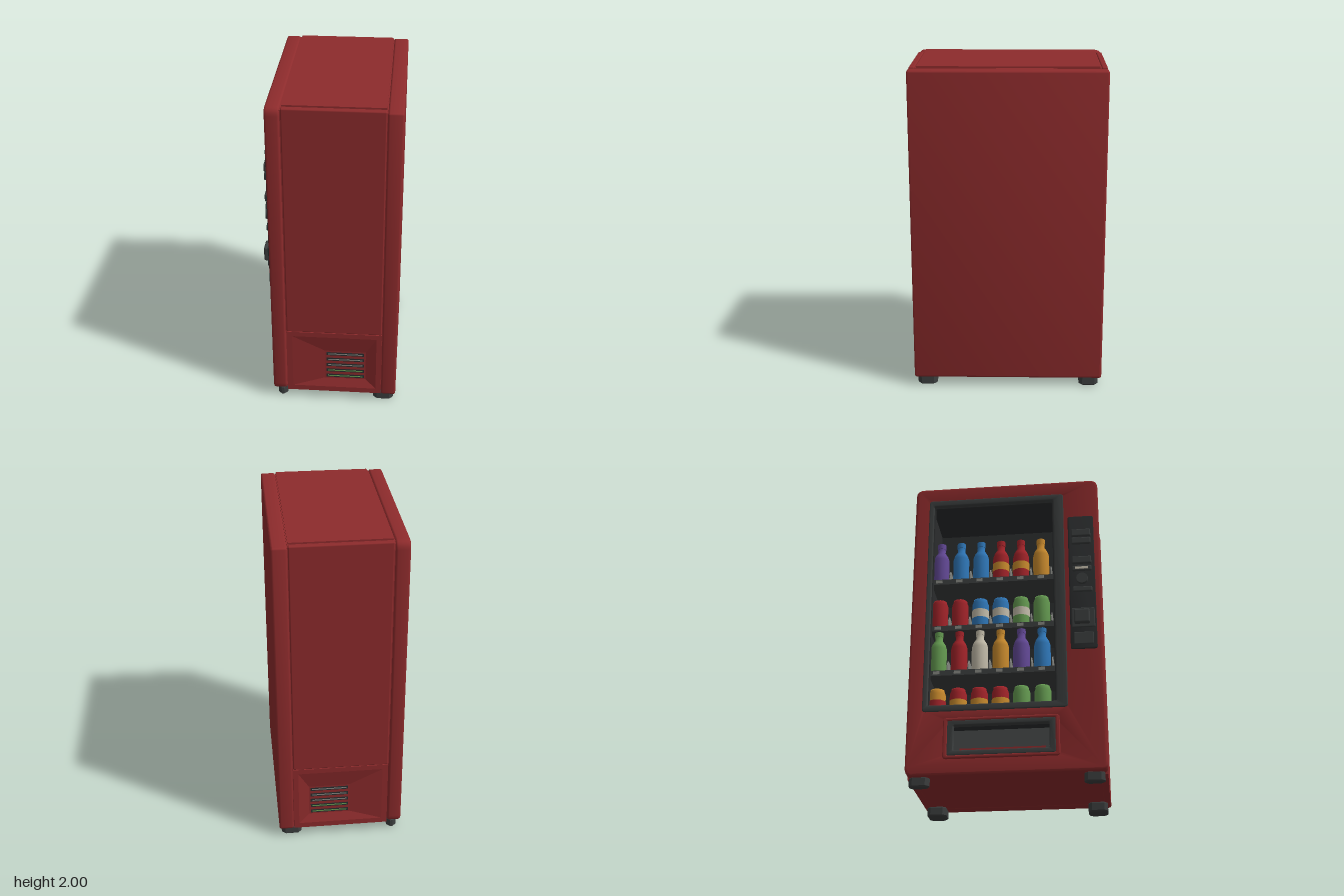
import * as THREE from 'three';
import { toCreasedNormals } from 'three/addons/utils/BufferGeometryUtils.js';
import { RoundedBoxGeometry } from 'three/addons/geometries/RoundedBoxGeometry.js';

const paint = (name, color) => {
  const m = new THREE.MeshStandardMaterial({ color });
  m.name = name;
  return m;
};

export function createModel() {
  const root = new THREE.Group();
  root.name = 'vendingMachine';
  const red = paint('cabinetRed', 0x8d2b2c), dark = paint('darkPlastic', 0x3b3e3e);
  const black = paint('interiorBlack', 0x2b2d2e), grey = paint('metalGrey', 0x83847f);
  const blue = paint('blue', 0x3079bb), crimson = paint('crimson', 0xa4242a);
  const orange = paint('orange', 0xcb8c2e), green = paint('green', 0x669c52);
  const purple = paint('purple', 0x644a98), cream = paint('cream', 0xc4bdab);

  const add = (name, geo, mat, x = 0, y = 0, z = 0, parent = root) => {
    const m = new THREE.Mesh(geo, mat);
    m.name = name;
    m.position.set(x, y, z);
    parent.add(m);
    return m;
  };
  // Box given by its limits
  const box = (name, mat, x0, x1, y0, y1, z0, z1, parent) =>
    add(name, new THREE.BoxGeometry(x1 - x0, y1 - y0, z1 - z0), mat,
      (x0 + x1) / 2, (y0 + y1) / 2, (z0 + z1) / 2, parent);
  const soft = (name, mat, x0, x1, y0, y1, z0, z1, r) =>
    add(name, new RoundedBoxGeometry(x1 - x0, y1 - y0, z1 - z0, 2, r), mat,
      (x0 + x1) / 2, (y0 + y1) / 2, (z0 + z1) / 2);

  // Rounded rectangle [z0, z1, y0, y1] with corner radius r
  const rect = ([z0, z1, y0, y1], r, path = new THREE.Shape()) => {
    path.moveTo(z0 + r, y0);
    path.lineTo(z1 - r, y0);
    path.quadraticCurveTo(z1, y0, z1, y0 + r);
    path.lineTo(z1, y1 - r);
    path.quadraticCurveTo(z1, y1, z1 - r, y1);
    path.lineTo(z0 + r, y1);
    path.quadraticCurveTo(z0, y1, z0, y1 - r);
    path.lineTo(z0, y0 + r);
    path.quadraticCurveTo(z0, y0, z0 + r, y0);
    return path;
  };
  // Plate in the z-y plane with holes, thick from x0 to x1
  const plate = (name, mat, outer, r, holes, x0, x1, b) => {
    const s = rect(outer, r);
    for (const h of holes) s.holes.push(rect(h, 0.008, new THREE.Path()));
    let g = new THREE.ExtrudeGeometry(s, {
      depth: x1 - x0 - 2 * b, bevelEnabled: b > 0, bevelSize: b, bevelThickness: b,
      bevelOffset: -b, bevelSegments: 3, curveSegments: 5,
    });
    g.translate(0, 0, b);
    g.rotateY(-Math.PI / 2);
    g = toCreasedNormals(g, 0.7);
    return add(name, g, mat, x1);
  };

  // Cabinet: door slab, hollow middle, rear slab
  const win = [-0.48, 0.35, 0.46, 1.89], cavity = [-0.49, 0.35, 0.41, 1.89];
  const chute = [-0.33, 0.28, 0.18, 0.375];
  plate('door', red, [-0.585, 0.585, 0.056, 2], 0.05, [win, chute], -0.365, -0.28, 0.013);
  plate('cabinetFront', red, [-0.55, 0.55, 0.06, 1.99], 0.01, [cavity, chute], -0.281, 0.06, 0);
  plate('cabinetRear', red, [-0.55, 0.55, 0.06, 1.99], 0.01, [], 0.06, 0.316, 0);
  plate('rearSlab', red, [-0.585, 0.585, 0.056, 1.99], 0.016, [], 0.315, 0.405, 0.012);
  box('topPanel', red, -0.273, 0.31, 1.985, 2, -0.535, 0.535);
  for (const s of [-1, 1]) {
    soft('sidePanel', red, -0.274, 0.311, 0.507, 1.996, s * 0.5625 - 0.0175, s * 0.5625 + 0.0175, 0.008);
    box('seamFiller', red, -0.281, 0.316, 0.507, 1.985, s * 0.5575 - 0.0125, s * 0.5575 + 0.0125);
  }

  // Lower side panels with sloping recess and vent slots
  for (const s of [-1, 1]) {
    const vent = new THREE.Group();
    vent.name = 'ventPanel';
    vent.rotation.y = s > 0 ? 0 : Math.PI;
    root.add(vent);
    const ring = (x0, x1, y0, y1, z) => [[x0, y0, z], [x1, y0, z], [x1, y1, z], [x0, y1, z]];
    const flip = (a, b) => s > 0 ? [a, b] : [-b, -a];
    const rings = [ring(...flip(-0.275, 0.312), 0.06, 0.507, 0.545), ring(...flip(-0.275, 0.312), 0.06, 0.507, 0.581),
      ring(...flip(-0.24, 0.28), 0.095, 0.475, 0.581), ring(...flip(-0.04, 0.215), 0.15, 0.36, 0.56)];
    const pos = [], quad = (a, b, c, d) => pos.push(...a, ...b, ...c, ...a, ...c, ...d);
    for (let k = 0; k < 3; k++)
      for (let i = 0; i < 4; i++) {
        const j = (i + 1) % 4;
        quad(rings[k][i], rings[k][j], rings[k + 1][j], rings[k + 1][i]);
      }
    quad(...rings[3]);
    const g = new THREE.BufferGeometry();
    g.setAttribute('position', new THREE.Float32BufferAttribute(pos, 3));
    g.computeVertexNormals();
    add('ventCover', g, red, 0, 0, 0, vent);
    const [a, b] = flip(-0.03, 0.205);
    for (let i = 0; i < 5; i++) {
      const y = 0.17 + i * 0.042;
      box('ventSlot', black, a, b, y - 0.011, y + 0.011, 0.556, 0.562, vent);
      box('ventLouvre', i < 2 ? green : grey, a + 0.01, b - 0.01, y - 0.004, y + 0.003, 0.558, 0.563, vent);
    }
  }

  // Chamfered feet
  const foot = (x0, x1, z) => {
    const w = (x1 - x0) / 2, d = 0.06, c = 0.022;
    const s = new THREE.Shape([[-w + c, -d], [w - c, -d], [w, -d + c], [w, d - c],
      [w - c, d], [-w + c, d], [-w, d - c], [-w, -d + c]].map(p => new THREE.Vector2(...p)));
    const g = new THREE.ExtrudeGeometry(s, { depth: 0.046, bevelSize: 0.008, bevelThickness: 0.008,
      bevelOffset: -0.008, bevelSegments: 1 });
    g.rotateX(-Math.PI / 2);
    add('foot', g, dark, (x0 + x1) / 2, 0.008, z);
  };
  for (const z of [-0.505, 0.505]) {
    foot(-0.34, -0.28, z);
    foot(0.265, 0.39, z);
  }

  // Dark lining of an opening
  const lining = (name, [z0, z1, y0, y1], x0, x1) => {
    box(name + 'Back', black, x1 - 0.008, x1, y0, y1, z0, z1);
    for (const [a, b, c, d] of [[z0, z1, y0, y0 + 0.008], [z0, z1, y1 - 0.008, y1],
      [z0, z0 + 0.008, y0, y1], [z1 - 0.008, z1, y0, y1]])
      box(name + 'Wall', black, x0, x1, c, d, a, b);
  };
  lining('doorOpening', win, -0.35, -0.28);
  root.remove(root.getObjectByName('doorOpeningBack'));
  lining('display', cavity, -0.28, 0.06);
  lining('chute', chute, -0.35, -0.1);

  // Window and delivery frames
  plate('windowFrame', dark, [-0.495, 0.365, 0.445, 1.905], 0.02, [[-0.465, 0.3, 0.485, 1.865]], -0.371, -0.33, 0.006);
  plate('windowInnerFrame', black, [-0.475, 0.32, 0.475, 1.875], 0.01, [[-0.457, 0.292, 0.493, 1.857]], -0.345, -0.325, 0.004);
  plate('chuteRim', red, [-0.365, 0.315, 0.15, 0.4], 0.02, [[-0.34, 0.29, 0.17, 0.382]], -0.376, -0.35, 0.005);
  plate('chuteFrame', dark, [-0.342, 0.292, 0.168, 0.385], 0.012, [[-0.305, 0.255, 0.2, 0.355]], -0.373, -0.33, 0.005);
  const flap = box('chuteFlap', dark, -0.285, -0.277, 0.19, 0.36, -0.32, 0.27);
  flap.rotation.z = -0.25;
  box('chuteLip', red, -0.335, -0.315, 0.19, 0.222, -0.27, 0.23);

  // Product shapes, as lathe profiles
  const lathe = pts => new THREE.LatheGeometry(pts.map(p => new THREE.Vector2(...p)), 14);
  const shapes = {
    bottle: lathe([[0, 0], [0.044, 0], [0.051, 0.012], [0.051, 0.175], [0.042, 0.205], [0.024, 0.235], [0.024, 0.262]]),
    can: lathe([[0, 0], [0.042, 0], [0.052, 0.015], [0.052, 0.17], [0.043, 0.195], [0.043, 0.202], [0, 0.198]]),
  };
  const cap = new THREE.CylinderGeometry(0.027, 0.027, 0.035, 14);
  const band = new THREE.CylinderGeometry(0.0535, 0.0535, 0.055, 14, 1, true);
  // Sloping side guard between products
  const guard = new THREE.ExtrudeGeometry(new THREE.Shape([[-0.285, 0], [0.03, 0], [0.03, 0.04], [-0.2, 0.09], [-0.25, 0.09],
    [-0.285, 0.05]].map(p => new THREE.Vector2(...p))), { depth: 0.006, bevelEnabled: false });

  // Shelves filled with products: [colour, label colour]
  const rows = [
    { y: 0.43, kind: 'can', items: [[orange, crimson], [crimson, orange], [crimson, orange], [crimson, orange], [green], [green]] },
    { y: 0.73, kind: 'bottle', items: [[green], [crimson], [cream], [orange], [purple], [blue]] },
    { y: 1.03, kind: 'can', items: [[crimson], [crimson], [blue, cream], [blue, cream], [green, cream], [green]] },
    { y: 1.355, kind: 'bottle', items: [[purple], [blue], [blue], [crimson, orange], [crimson, orange], [orange]] },
  ];
  for (const { y, kind, items } of rows) {
    const shelf = new THREE.Group();
    shelf.name = 'shelf';
    root.add(shelf);
    box('shelfBoard', dark, -0.285, 0.05, y - 0.012, y, -0.48, 0.34, shelf);
    box('shelfRail', dark, -0.297, -0.285, y - 0.025, y + 0.01, -0.48, 0.34, shelf);
    items.forEach(([color, label], i) => {
      const z = -0.43 + i * 0.128, x = -0.232;
      box('priceTag', grey, -0.301, -0.296, y - 0.016, y + 0.004, z - 0.02, z + 0.02, shelf);
      add('sideGuard', guard, grey, 0, y, z + 0.061, shelf);
      add(kind, shapes[kind], color, x, y, z, shelf);
      if (kind === 'bottle') add('bottleCap', cap, color, x, y + 0.277, z, shelf);
      if (label) add('productLabel', band, label, x, y + 0.1, z, shelf);
    });
  }

  // Payment panel
  plate('paymentPanel', black, [0.39, 0.55, 0.81, 1.73], 0.015, [], -0.371, -0.35, 0.004);
  soft('displayScreen', dark, -0.385, -0.36, 1.58, 1.63, 0.41, 0.53, 0.008);
  soft('noteSlot', dark, -0.385, -0.36, 1.525, 1.57, 0.41, 0.53, 0.008);
  soft('noteTray', dark, -0.385, -0.36, 1.385, 1.435, 0.41, 0.53, 0.008);
  soft('selectionBar', dark, -0.382, -0.36, 1.335, 1.37, 0.41, 0.53, 0.008);
  box('noteStrip', cream, -0.385, -0.38, 1.345, 1.36, 0.43, 0.51);
  const knob = add('coinKnob', new THREE.CylinderGeometry(0.035, 0.04, 0.03, 16), dark, -0.373, 1.28, 0.47);
  knob.rotation.z = Math.PI / 2;
  soft('lowerBar', dark, -0.382, -0.36, 1.19, 1.225, 0.41, 0.53, 0.008);
  soft('coinBoxBase', dark, -0.378, -0.36, 0.95, 1.08, 0.4, 0.54, 0.006);
  soft('coinBox', dark, -0.405, -0.37, 0.97, 1.06, 0.415, 0.51, 0.01);
  soft('coinReturn', dark, -0.374, -0.36, 0.84, 0.92, 0.41, 0.53, 0.006);

  return root;
}
